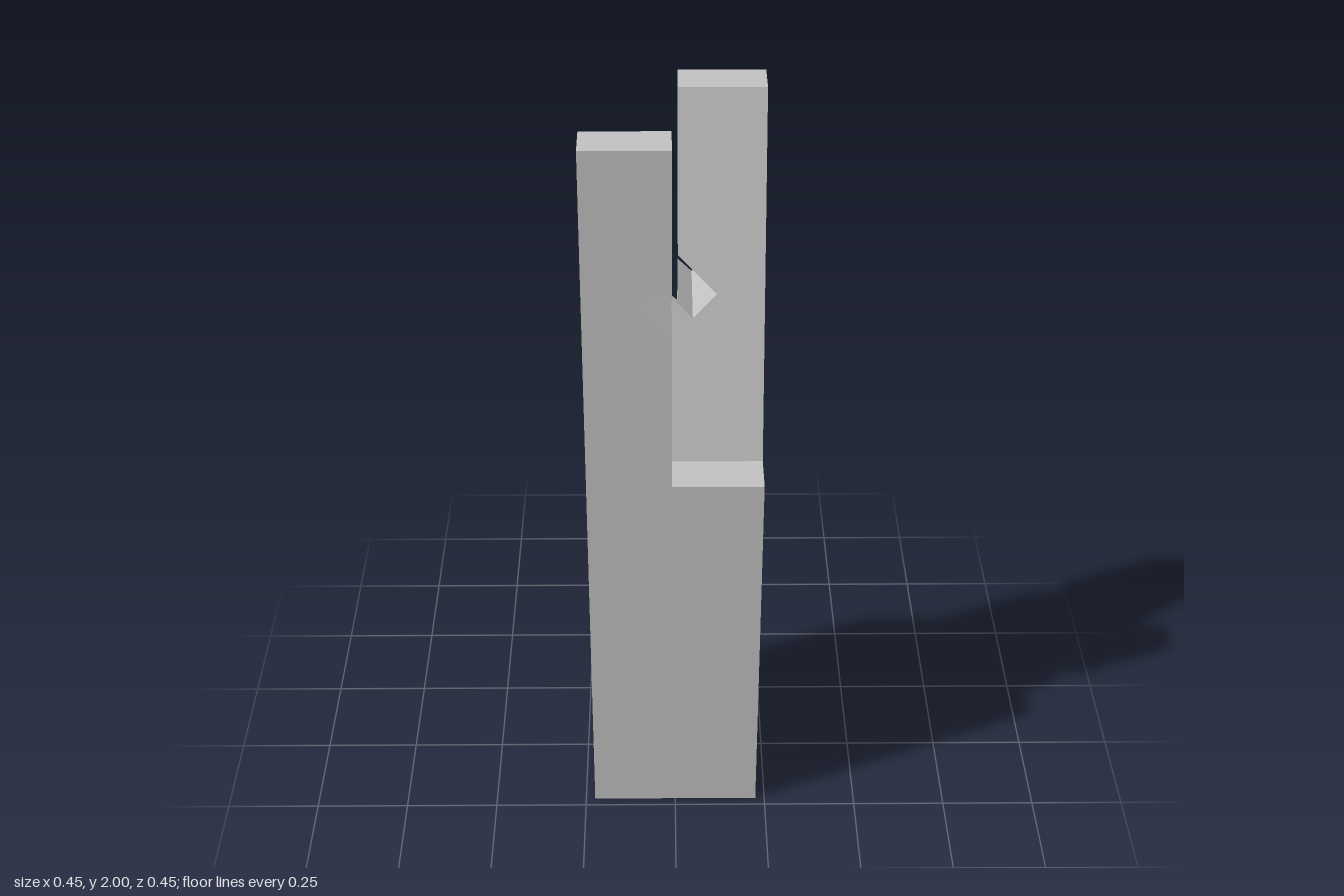
import * as THREE from 'three';

const HALF = 0.225;   // half width of the square post
const SEAT = 1.07;    // height of the joint's shoulders
const TOP = 2;
const GAP = 0.008;    // half gap between the tongues

// z of the slanted joint face at height y
const slope = (y) => 0.111 - 0.233 * (y - SEAT) / (TOP - SEAT);

export function createModel() {
  const group = new THREE.Group();
  const grey = new THREE.MeshStandardMaterial({ color: 0xc0c0c0 });
  grey.name = 'plain grey';

  // Extrudes an xy outline between a back and a front z that depend on y
  function slab(name, outline, back, front) {
    const shape = new THREE.Shape(outline.map(([x, y]) => new THREE.Vector2(x, y)));
    const geometry = new THREE.ExtrudeGeometry(shape, { depth: 1, bevelEnabled: false });
    const p = geometry.attributes.position;
    for (let i = 0; i < p.count; i++) {
      p.setZ(i, p.getZ(i) > 0.5 ? front(p.getY(i)) : back(p.getY(i)));
    }
    geometry.computeVertexNormals();
    const mesh = new THREE.Mesh(geometry, grey);
    mesh.name = name;
    group.add(mesh);
  }

  // Solid lower post
  const post = new THREE.Mesh(new THREE.BoxGeometry(2 * HALF, SEAT, 2 * HALF), grey);
  post.name = 'post';
  post.position.y = SEAT / 2;
  group.add(post);

  // Front tongue, with its half of the diagonal peg slot
  slab('frontTongue', [
    [-HALF, SEAT], [-GAP, SEAT], [-GAP, 1.493], [-0.105, 1.59],
    [-0.045, 1.65], [-GAP, 1.613], [-GAP, TOP], [-HALF, TOP],
  ], (y) => -slope(y), () => HALF);

  // Back tongue, with the other half of the slot
  slab('backTongue', [
    [GAP, SEAT], [HALF, SEAT], [HALF, TOP], [GAP, TOP],
    [GAP, 1.597], [0.105, 1.5], [0.045, 1.44], [GAP, 1.477],
  ], () => -HALF, slope);

  // Thin web joining the tongues below the slot
  slab('web', [[-GAP, SEAT], [GAP, SEAT], [GAP, 1.477], [-GAP, 1.493]],
    (y) => -slope(y), slope);

  return group;
}
